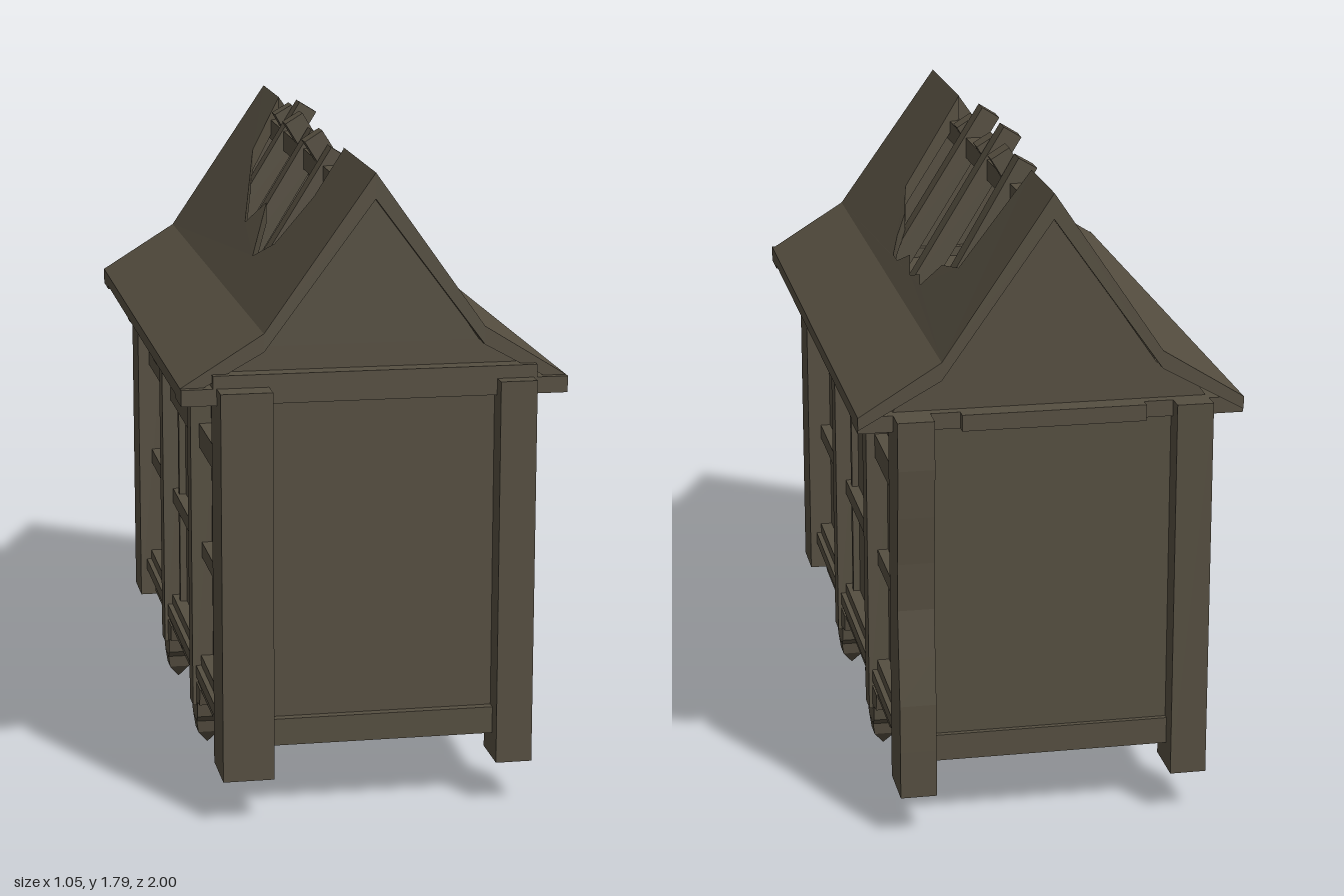
import * as THREE from 'three';

export function createModel() {
  const root = new THREE.Group();
  const wood = new THREE.MeshStandardMaterial({ color: 0x554e40 });
  wood.name = 'weathered wood';

  const add = (name, geo) => {
    const m = new THREE.Mesh(geo, wood);
    m.name = name;
    root.add(m);
    return m;
  };
  // Box given by its limits on each axis
  const box = (name, x0, x1, y0, y1, z0, z1, ySeg = 1) => {
    const g = new THREE.BoxGeometry(x1 - x0, y1 - y0, z1 - z0, 1, ySeg, 1);
    g.translate((x0 + x1) / 2, (y0 + y1) / 2, (z0 + z1) / 2);
    return add(name, g);
  };
  const shapeOf = pts => new THREE.Shape(pts.map(p => new THREE.Vector2(p[0], p[1])));
  const extrude = (pts, depth) =>
    new THREE.ExtrudeGeometry(shapeOf(pts), { depth, bevelEnabled: false });

  // Roof: plan outlines extruded, then lifted onto the bent slope
  const ZF = 0.91, ZB = -0.935, KNEE = 0.3, EAVE = 0.525;
  const roofTop = (x, z) => {
    const a = Math.abs(x), ridge = 1.772 - 0.012 * z;
    return a <= KNEE ? ridge + (1.34 - ridge) * a / KNEE
      : 1.34 - 0.14 * (a - KNEE) / (EAVE - KNEE);
  };
  const roofThick = x => 0.07 - 0.035 * Math.abs(x) / EAVE;
  const roofPart = (name, plan) => {
    const g = extrude(plan.map(([x, z]) => [x, -z]), 1);
    g.rotateX(-Math.PI / 2);
    const p = g.attributes.position;
    for (let i = 0; i < p.count; i++) {
      const x = p.getX(i), z = p.getZ(i);
      p.setY(i, roofTop(x, z) - (1 - p.getY(i)) * roofThick(x));
    }
    g.computeVertexNormals();
    add(name, g);
  };
  // Ragged hole edges, from the front of the ridge to its back
  const holes = {
    1: [[0, 0.45], [0.18, 0.37], [0.21, 0.2], [0.245, 0.13], [0.27, 0.05], [0.27, -0.02],
      [0.245, -0.1], [0.265, -0.22], [0.25, -0.3], [0.26, -0.36], [0.21, -0.43], [0.19, -0.58], [0, -0.64]],
    [-1]: [[0, 0.46], [-0.09, 0.49], [-0.19, 0.42], [-0.23, 0.28], [-0.15, 0.04],
      [-0.2, -0.05], [-0.1, -0.53], [0, -0.64]],
  };
  for (const s of [1, -1]) {
    roofPart('upperRoofSlope', [[0, ZF], ...holes[s], [0, ZB], [s * KNEE, ZB], [s * KNEE, ZF]]);
    roofPart('lowerRoofSlope', [[s * KNEE, ZF], [s * KNEE, ZB], [s * EAVE, ZB], [s * EAVE, ZF]]);
  }

  // Gable walls set back under the roof ends
  const gable = [[-0.44, 1.18], [0.44, 1.18], [0.4, 1.24], [0.29, 1.3], [0, 1.72], [-0.29, 1.3], [-0.4, 1.24]];
  for (const z of [0.845, -0.9]) add('gableWall', extrude(gable, 0.035).translate(0, 0, z));

  // Exposed ridge beam and crossed rafters
  const ridge = box('ridgeBeam', -0.03, 0.03, -0.03, 0.03, -0.85, 0.85);
  ridge.position.y = 1.67;
  ridge.rotation.x = 0.02;
  const rafter = (s, z, topX, topY) => {
    const end = new THREE.Vector2(0.255, 1.29);
    const top = new THREE.Vector2(-topX, topY);
    const dir = end.clone().sub(top);
    const g = new THREE.BoxGeometry(0.06, dir.length(), 0.06);
    const m = add('rafter', g);
    m.position.set(s * (end.x + top.x) / 2, (end.y + top.y) / 2, z);
    m.rotation.z = s * Math.atan2(dir.x, -dir.y);
  };
  rafter(1, 0.2, 0.045, 1.77);
  rafter(1, -0.127, 0.045, 1.78);
  rafter(1, -0.465, 0.02, 1.765);
  rafter(-1, 0.265, 0.02, 1.73);
  rafter(-1, -0.055, 0.02, 1.74);
  rafter(-1, -0.4, 0.045, 1.78);

  // Enclosed body
  box('bodyWalls', -0.36, 0.36, 0.235, 1.17, -0.91, 0.9);

  // End walls: rails and tie beams
  for (const s of [1, -1]) {
    const span = (a, b) => [Math.min(s * a, s * b), Math.max(s * a, s * b)];
    box('endBottomRail', -0.34, 0.34, 0.2, 0.275, ...span(0.84, 0.925));
    box('tieBeam', -EAVE, EAVE, 1.155, 1.2, ...span(0.82, 0.93));
  }
  box('frontGableSill', -0.44, 0.44, 1.2, 1.235, 0.88, 0.93);
  box('backTopRail', -0.25, 0.25, 1.155, 1.2, -0.96, -0.9);

  // Corner posts
  box('frontRightPost', -0.43, -0.29, 0.13, 1.2, 0.83, 1.0);
  box('frontLeftPost', 0.33, 0.43, 0.13, 1.2, 0.83, 0.975);
  box('backRightPost', -0.43, -0.33, 0.13, 1.2, -0.98, -0.83);
  // The worn post has a hollowed outer face
  const worn = box('wornBackLeftPost', 0.33, 0.43, 0.13, 1.2, -1.0, -0.845, 8);
  const wp = worn.geometry.attributes.position;
  for (let i = 0; i < wp.count; i++) {
    const d = Math.max(0, 1 - Math.abs(wp.getY(i) - 0.7) / 0.32);
    if (wp.getZ(i) < -0.95) wp.setZ(i, wp.getZ(i) + 0.03 * d);
  }
  worn.geometry = worn.geometry.toNonIndexed();
  worn.geometry.computeVertexNormals();

  // Outline of the shaped drop under each side stud (z offset, y)
  const dropSide = [[-0.11, 0.2], [-0.1, 0.15], [-0.06, 0.145], [-0.055, 0.1], [-0.035, 0.08],
    [0.035, 0.08], [0.055, 0.1], [0.06, 0.145], [0.1, 0.15], [0.11, 0.2]];
  const bracket = [[0.4, 1.06], [0.43, 1.06], [0.435, 1.1], [0.455, 1.13], [0.48, 1.142],
    [0.515, 1.145], [0.515, 1.175], [0.4, 1.175]];

  for (const s of [1, -1]) {
    const side = (name, xa, xb, y0, y1, z0, z1) =>
      box(name, Math.min(s * xa, s * xb), Math.max(s * xa, s * xb), y0, y1, z0, z1);
    // Sills, rails and light uprights
    side('sideSill', 0.32, 0.41, 0.215, 0.25, -0.84, 0.83);
    side('sideBottomRail', 0.34, 0.395, 0.25, 0.28, -0.84, 0.83);
    side('sillSkirt', 0.335, 0.405, 0.192, 0.215, -0.66, -0.02);
    side('sillSkirt', 0.335, 0.405, 0.192, 0.215, 0, 0.635);
    side('middleRail', 0.35, 0.39, 0.575, 0.62, -0.84, 0.83);
    side('upperRail', 0.35, 0.395, 0.9, 0.97, -0.84, 0.83);
    side('wallPlate', 0.34, 0.4, 1.12, 1.172, -0.84, 0.83);
    side('eavesBoard', 0.34, 0.51, 1.165, 1.185, -0.84, 0.83);
    side('panelUpright', 0.35, 0.38, 0.25, 0.9, 0.2, 0.225);
    side('panelUpright', 0.35, 0.38, 0.25, 0.9, -0.25, -0.225);

    for (const z of [0.3, -0.335]) {
      // Main stud with eaves bracket above and pendant below
      side('sideStud', 0.33, 0.42, 0.13, 1.17, z - 0.034, z + 0.034);
      const b = extrude(bracket.map(([x, y]) => [s * x, y]), 0.06);
      add('eavesBracket', b.translate(0, 0, z - 0.03));
      const d = extrude(dropSide, 0.07);
      d.rotateY(Math.PI / 2).translate(s * 0.375 - 0.035, 0, z);
      add('pendantShoulder', d);
      const tip = new THREE.LatheGeometry([[0, 0.005], [0.042, 0.045], [0.05, 0.085], [0, 0.085]]
        .map(p => new THREE.Vector2(p[0], p[1])), 4, Math.PI / 4).toNonIndexed();
      tip.computeVertexNormals();
      add('pendantTip', tip.translate(s * 0.375, 0, z));
    }
  }
  return root;
}
